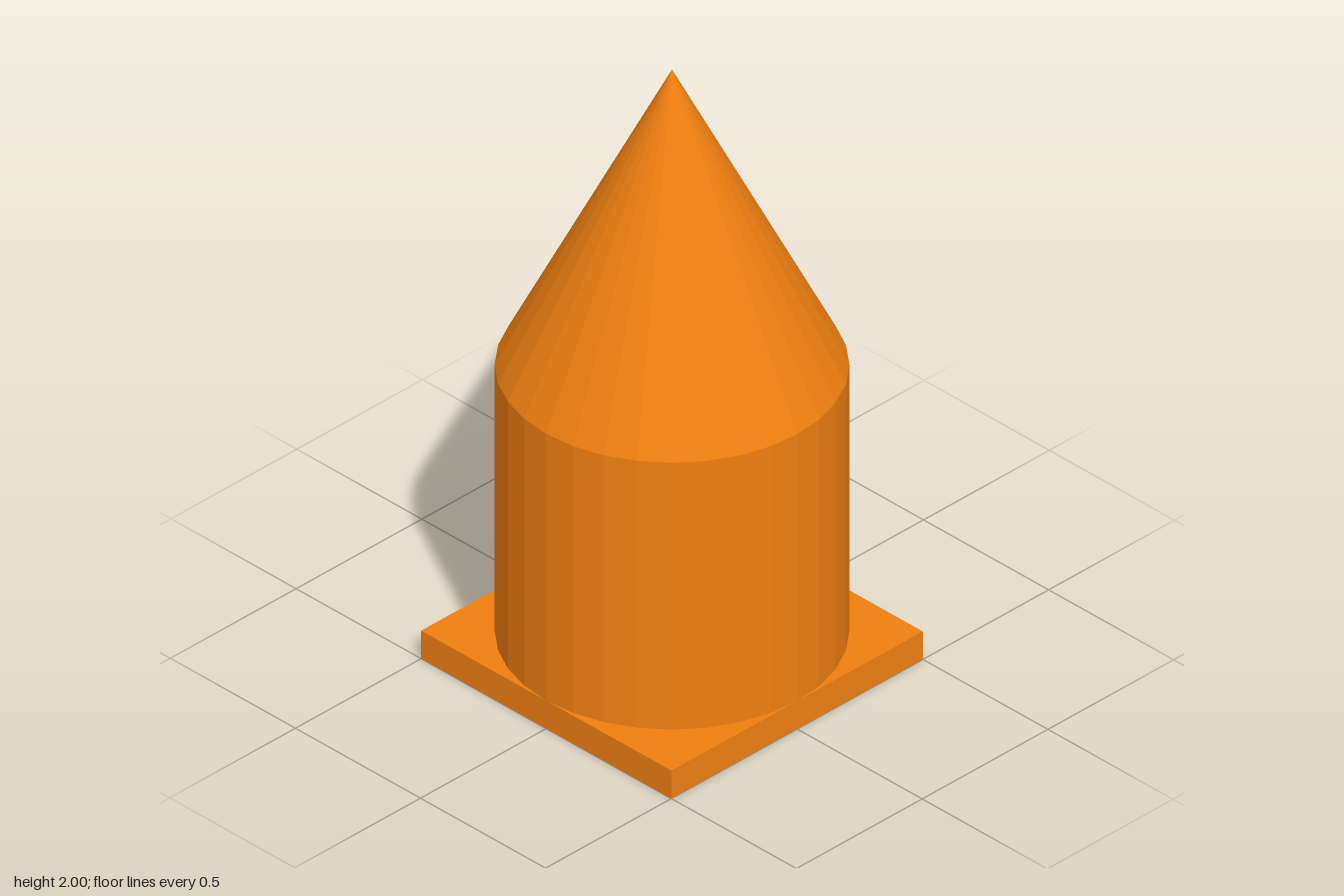
import * as THREE from 'three';

const RADIUS = 0.5;
const SIDES = 32;
const BASE_TOP = 0.095;
const SHOULDER = 1;
const TIP = 2;

export function createModel() {
  const model = new THREE.Group();
  model.name = 'pointedTower';
  const orange = new THREE.MeshStandardMaterial({ color: 0xf07f11, flatShading: true });

  // Adds a part whose underside sits at the given height
  const addPart = (name, geometry, bottom, height) => {
    const mesh = new THREE.Mesh(geometry, orange);
    mesh.name = name;
    mesh.position.y = bottom + height / 2;
    model.add(mesh);
  };

  // Square foot plate
  addPart('basePlate', new THREE.BoxGeometry(2 * RADIUS, BASE_TOP, 2 * RADIUS), 0, BASE_TOP);

  // Faceted round body, closed by the plate below and the cone above
  const bodyHeight = SHOULDER - BASE_TOP;
  addPart('body', new THREE.CylinderGeometry(RADIUS, RADIUS, bodyHeight, SIDES, 1, true), BASE_TOP, bodyHeight);

  // Pointed top
  const coneHeight = TIP - SHOULDER;
  addPart('coneTop', new THREE.ConeGeometry(RADIUS, coneHeight, SIDES, 1, true), SHOULDER, coneHeight);

  return model;
}
